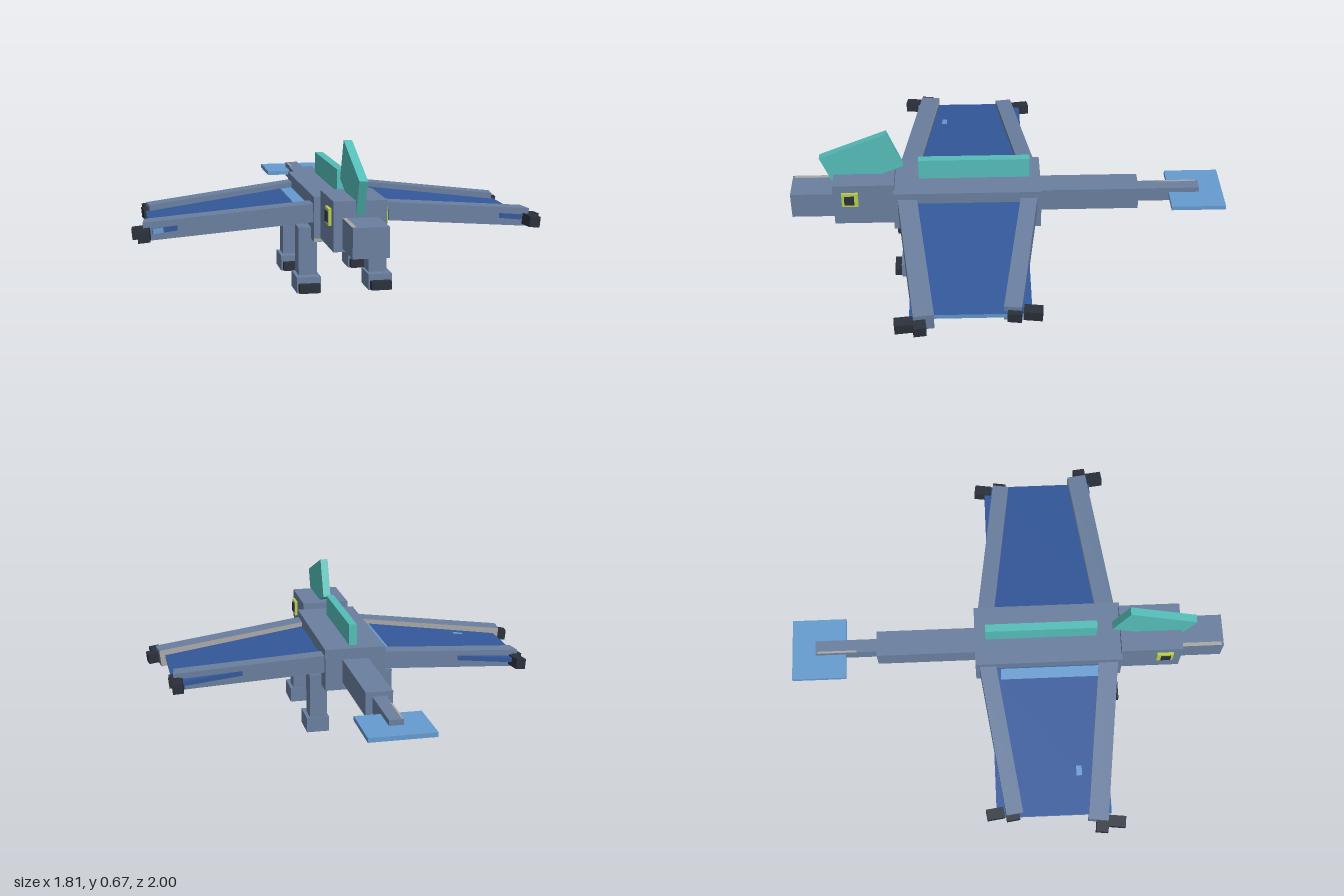
import * as THREE from 'three';

const mat = (name, color) => {
  const m = new THREE.MeshStandardMaterial({ color });
  m.name = name;
  return m;
};

export function createModel() {
  const slate = mat('slate hide', 0x6a7f9f);
  const grey = mat('pale underside', 0xaaa8a6);
  const navy = mat('wing membrane', 0x33589a);
  const sky = mat('light blue fin', 0x659bcf);
  const teal = mat('teal crest', 0x55bdb8);
  const lime = mat('lime eye', 0xb9cc50);
  const black = mat('dark claw', 0x2a303a);

  // face order: +x, -x, +y, -y, +z, -z
  const hide = [slate, slate, slate, grey, slate, slate];
  const hideGreyBack = [slate, slate, slate, grey, slate, grey];
  const skin = [sky, sky, navy, navy, navy, navy];

  const root = new THREE.Group();
  root.name = 'wingedBeast';

  // box by centre and size
  const box = (name, size, pos, material, rot = [0, 0, 0], parent = root) => {
    const mesh = new THREE.Mesh(new THREE.BoxGeometry(...size), material);
    mesh.name = name;
    mesh.position.set(...pos);
    mesh.rotation.set(...rot);
    parent.add(mesh);
    return mesh;
  };
  // box by its limits on each axis
  const span = (name, [x0, x1], [y0, y1], [z0, z1], material) =>
    box(name, [x1 - x0, y1 - y0, z1 - z0],
      [(x0 + x1) / 2, (y0 + y1) / 2, (z0 + z1) / 2], material);

  // trunk, head and tail
  span('body', [-0.14, 0.14], [0.23, 0.425], [-0.15, 0.525], hide);
  span('head', [-0.112, 0.112], [0.245, 0.455], [0.52, 0.8], hide);
  span('snout', [-0.075, 0.075], [0.26, 0.385], [0.8, 1], hide);
  span('tailBase', [-0.06, 0.06], [0.265, 0.375], [-0.605, -0.15], hide);
  span('tailTip', [-0.031, 0.031], [0.285, 0.355], [-0.89, -0.6], hide);
  span('tailFin', [-0.145, 0.145], [0.311, 0.331], [-1, -0.75], sky);

  // pale markings
  span('chestMark', [-0.14, 0.14], [0.231, 0.245], [0.525, 0.527], grey);
  span('snoutMark', [-0.075, -0.058], [0.384, 0.387], [0.8, 0.99], grey);
  span('tailMark', [-0.031, -0.022], [0.354, 0.357], [-0.88, -0.7], grey);

  // crests
  span('backCrest', [-0.018, 0.018], [0.42, 0.523], [-0.1, 0.41], teal);
  box('headCrest', [0.036, 0.188, 0.334], [0, 0.52, 0.67], teal, [0.383, 0, 0]);

  for (const s of [1, -1]) {
    const side = s > 0 ? 'left' : 'right';

    // eye
    box(side + 'Eye', [0.03, 0.07, 0.075], [s * 0.11, 0.383, 0.723], lime);
    box(side + 'Pupil', [0.036, 0.045, 0.045], [s * 0.112, 0.383, 0.726], black);

    // legs, feet and toe claws
    for (const [which, z] of [['Front', 0.41], ['Hind', -0.015]]) {
      const n = side + which;
      box(n + 'Leg', [0.08, 0.22, 0.09], [s * 0.155, 0.17, z], slate);
      box(n + 'Foot', [0.105, 0.07, 0.138], [s * 0.158, 0.035, z + 0.02], slate);
      box(n + 'ToeClaws', [0.09, 0.038, 0.032], [s * 0.158, 0.024, z + 0.104], black);
    }

    // wing: two spars, the claws on their tips, and the membrane between
    const wing = new THREE.Group();
    wing.name = side + 'Wing';
    root.add(wing);
    const front = [0, s * 0.12, s * -0.1];
    const rear = [0, s * -0.14, s * -0.1];
    box('frontSpar', [0.76, 0.08, 0.088], [s * 0.475, 0.318, 0.42], hideGreyBack, front, wing);
    box('rearSpar', [0.74, 0.08, 0.076], [s * 0.445, 0.321, -0.05], hide, rear, wing);
    box('frontSideClaw', [0.05, 0.048, 0.055], [s * 0.877, 0.273, 0.392], black, front, wing);
    box('frontTipClaw', [0.05, 0.048, 0.08], [s * 0.856, 0.273, 0.458], black, front, wing);
    box('rearSideClaw', [0.052, 0.048, 0.06], [s * 0.809, 0.281, -0.008], black, rear, wing);
    box('rearTipClaw', [0.048, 0.048, 0.08], [s * 0.802, 0.281, -0.085], black, rear, wing);
    box('membrane', [0.69, 0.022, 0.515], [s * 0.478, 0.322, 0.178], skin, [0, 0, s * -0.11], wing);
  }

  // light blue patches on the right wing
  const tilt = [0, 0, 0.11];
  box('rightRootPatch', [0.05, 0.004, 0.46], [-0.17, 0.367, 0.195], sky, tilt);
  box('rightSpot', [0.045, 0.004, 0.025], [-0.625, 0.317, 0.3], sky, tilt);
  box('rightEdgePatch', [0.045, 0.022, 0.004], [-0.795, 0.287, 0.436], sky, tilt);

  return root;
}
